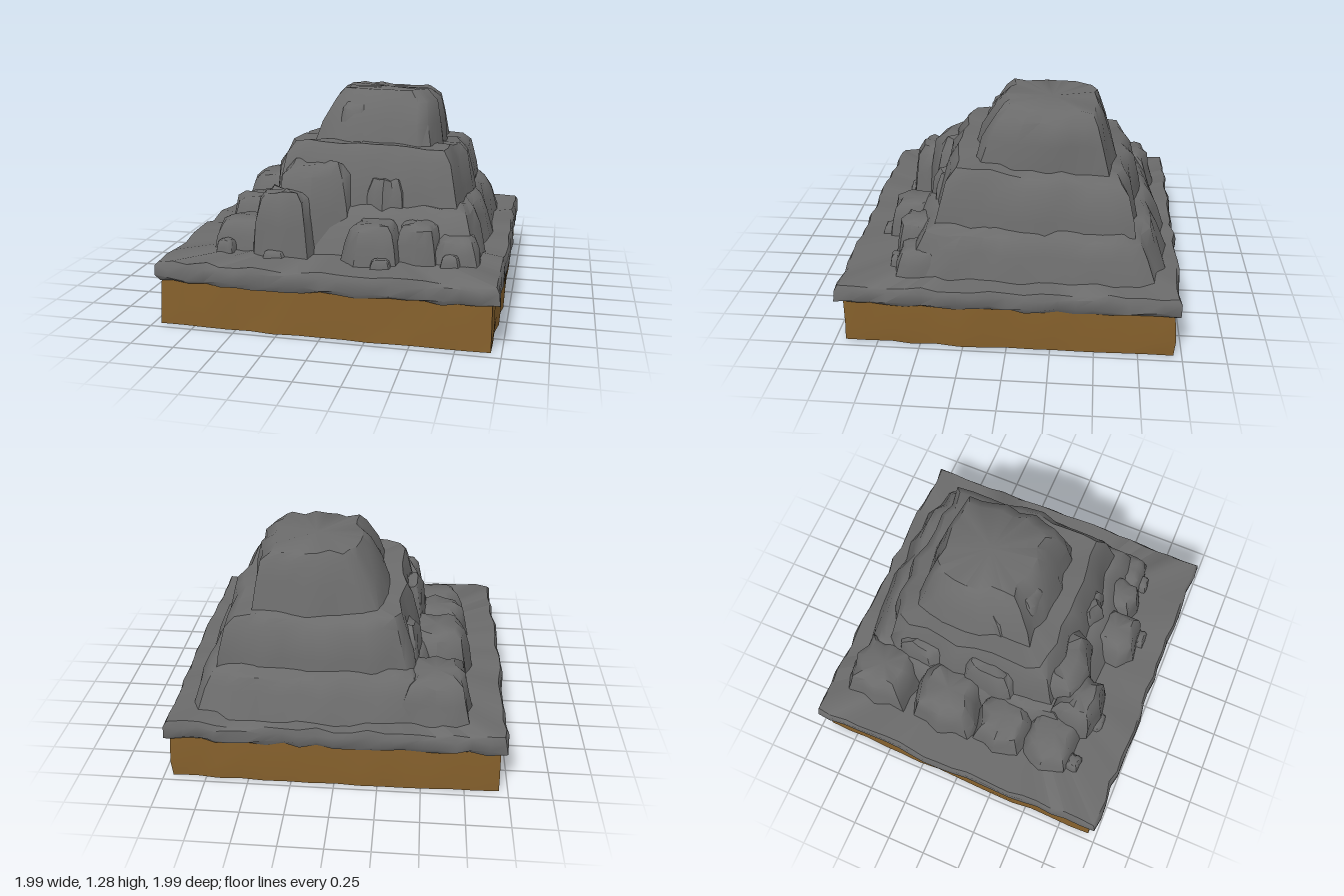
import * as THREE from 'three';
import { mergeVertices, toCreasedNormals } from 'three/addons/utils/BufferGeometryUtils.js';

// Seeded noise in -1..1
function makeNoise(seed) {
  let s = seed * 7919 + 17;
  return () => {
    s = (s * 16807) % 2147483647;
    return (s / 2147483647) * 2 - 1;
  };
}

// Rough block lofted through levels [y, x0, x1, z0, z1], with vertical ridges
function rockGeometry(levels, { seed, perSide = 7, round = 0.3, rough = 0.02, wave = 0.01, tiltX = 0, tiltZ = 0, flatBase = false }) {
  const noise = makeNoise(seed);
  for (let i = 0; i < 5; i++) noise();
  const n = perSide * 4;
  const outline = [];
  for (let s = 0; s < 4; s++) {
    for (let k = 0; k < perSide; k++) {
      const t = (k / perSide) * 2 - 1;
      const [u, v] = [[1, t], [-t, 1], [-1, -t], [t, -1]][s];
      const scale = 1 - round * (1 - 1 / Math.hypot(u, v));
      outline.push([u * scale, v * scale, noise()]);
    }
  }
  const pos = [], index = [];
  levels.forEach(([y, x0, x1, z0, z1], i) => {
    const tilt = i / (levels.length - 1);
    for (const [u, v, ridge] of outline) {
      const push = rough * (ridge * 0.7 + noise() * 0.3);
      const x = (x0 + x1) / 2 + u * ((x1 - x0) / 2 + push);
      const z = (z0 + z1) / 2 + v * ((z1 - z0) / 2 + push);
      const dy = flatBase && i === 0 ? 0 : wave * noise();
      pos.push(x, y + dy + tilt * (tiltX * x + tiltZ * z), z);
    }
  });
  for (let i = 0; i < levels.length - 1; i++) {
    for (let j = 0; j < n; j++) {
      const a = i * n + j, b = i * n + ((j + 1) % n);
      index.push(a, a + n, b, b, a + n, b + n);
    }
  }
  // Bottom and top caps
  [0, levels.length - 1].forEach((i) => {
    const [y, x0, x1, z0, z1] = levels[i];
    const cx = (x0 + x1) / 2, cz = (z0 + z1) / 2, c = pos.length / 3;
    pos.push(cx, y + (i ? tiltX * cx + tiltZ * cz : 0), cz);
    for (let j = 0; j < n; j++) {
      const a = i * n + j, b = i * n + ((j + 1) % n);
      if (i) index.push(c, b, a);
      else index.push(c, a, b);
    }
  });
  const geo = new THREE.BufferGeometry();
  geo.setAttribute('position', new THREE.Float32BufferAttribute(pos, 3));
  geo.setIndex(index);
  return toCreasedNormals(mergeVertices(geo), 0.85);
}

export function createModel() {
  const model = new THREE.Group();
  model.name = 'rockyMountain';
  const stone = new THREE.MeshStandardMaterial({ color: 0x6b6b6b });
  stone.name = 'grey stone';
  const soil = new THREE.MeshStandardMaterial({ color: 0x85602c });
  soil.name = 'brown soil';

  const add = (name, material, levels, options) => {
    const mesh = new THREE.Mesh(rockGeometry(levels, options), material);
    mesh.name = name;
    model.add(mesh);
  };

  // Soil block and the stone crust lying over it
  add('soilBase', soil, [
    [0, -0.965, 0.955, -0.96, 0.955],
    [0.1, -0.965, 0.96, -0.965, 0.955],
    [0.3, -0.955, 0.955, -0.955, 0.95],
  ], { seed: 3, perSide: 14, round: 0.03, rough: 0.012, wave: 0.012, flatBase: true });
  add('stoneCrust', stone, [
    [0.265, -0.965, 0.965, -0.97, 0.965],
    [0.29, -0.985, 0.985, -0.985, 0.98],
    [0.35, -0.98, 0.98, -0.985, 0.975],
    [0.38, -0.965, 0.965, -0.97, 0.96],
  ], { seed: 5, perSide: 20, round: 0.03, rough: 0.015, wave: 0.012 });

  // Main tiers, from foot to summit
  add('footTier', stone, [
    [0.36, -0.56, 0.87, -0.91, 0.66],
    [0.52, -0.53, 0.82, -0.85, 0.58],
    [0.61, -0.5, 0.78, -0.81, 0.52],
    [0.64, -0.47, 0.73, -0.77, 0.47],
  ], { seed: 11, perSide: 11, round: 0.25, rough: 0.03, wave: 0.012, tiltZ: 0.02 });
  add('middleTier', stone, [
    [0.5, -0.48, 0.75, -0.76, 0.51],
    [0.7, -0.44, 0.71, -0.73, 0.46],
    [0.89, -0.39, 0.67, -0.69, 0.41],
    [0.955, -0.36, 0.62, -0.65, 0.35],
  ], { seed: 13, perSide: 9, round: 0.25, rough: 0.028, wave: 0.012, tiltX: -0.02, tiltZ: 0.08 });
  add('summit', stone, [
    [0.88, -0.28, 0.55, -0.6, 0.26],
    [1.08, -0.21, 0.52, -0.55, 0.2],
    [1.21, -0.14, 0.49, -0.51, 0.12],
    [1.275, -0.09, 0.42, -0.48, 0.06],
  ], { seed: 17, perSide: 7, round: 0.35, rough: 0.028, wave: 0.008, tiltX: -0.02, tiltZ: 0.06 });

  // Outcrops [name, x0, x1, z0, z1, top] leaning against the tiers
  const outcrops = [
    ['summitShoulder', -0.27, 0.1, -0.42, 0.08, 1.11, 0.8],
    ['summitButtress', -0.12, 0.14, -0.15, 0.21, 1.2, 0.85],
    ['frontLedge', -0.42, 0.12, 0.05, 0.6, 0.88, 0.36],
    ['sideLedge', -0.52, -0.2, -0.2, 0.25, 0.86, 0.36],
    ['sideLedge', -0.5, -0.2, -0.65, -0.25, 0.8, 0.36],
    ['leftFlankRock', -0.79, -0.34, -0.87, -0.42, 0.62, 0.36],
    ['leftFlankRock', -0.8, -0.34, -0.42, 0.04, 0.67, 0.36],
    ['leftFlankRock', -0.78, -0.34, 0, 0.38, 0.61, 0.36],
    ['leftFlankRock', -0.76, -0.3, 0.33, 0.68, 0.55, 0.36],
    ['frontBoulder', -0.5, -0.11, 0.4, 0.74, 0.74, 0.36],
    ['frontBoulder', 0.06, 0.42, 0.44, 0.8, 0.59, 0.36],
    ['frontBoulder', 0.34, 0.62, 0.4, 0.7, 0.59, 0.36],
    ['frontBoulder', 0.55, 0.85, 0.36, 0.67, 0.52, 0.36],
    ['frontButtress', 0.1, 0.42, 0.2, 0.53, 0.8, 0.36],
    ['looseRock', 0.62, 0.74, 0.61, 0.71, 0.44, 0.36],
    ['looseRock', -0.7, -0.58, 0.63, 0.74, 0.45, 0.36],
    ['looseRock', -0.4, -0.26, 0.68, 0.78, 0.42, 0.36],
    ['looseRock', 0.24, 0.37, 0.74, 0.83, 0.43, 0.36],
  ];
  outcrops.forEach(([name, x0, x1, z0, z1, top, foot], i) => {
    const w = x1 - x0, d = z1 - z0, h = top - foot;
    const level = (t, inset) => [foot + h * t, x0 + w * inset, x1 - w * inset, z0 + d * inset, z1 - d * inset];
    add(name, stone, [level(0, 0), level(0.5, 0.06), level(0.87, 0.13), level(1, 0.23)],
      { seed: 31 + i * 6, perSide: 4, round: 0.6, rough: 0.07 * Math.min(w, d), wave: 0.04 * h });
  });

  return model;
}
